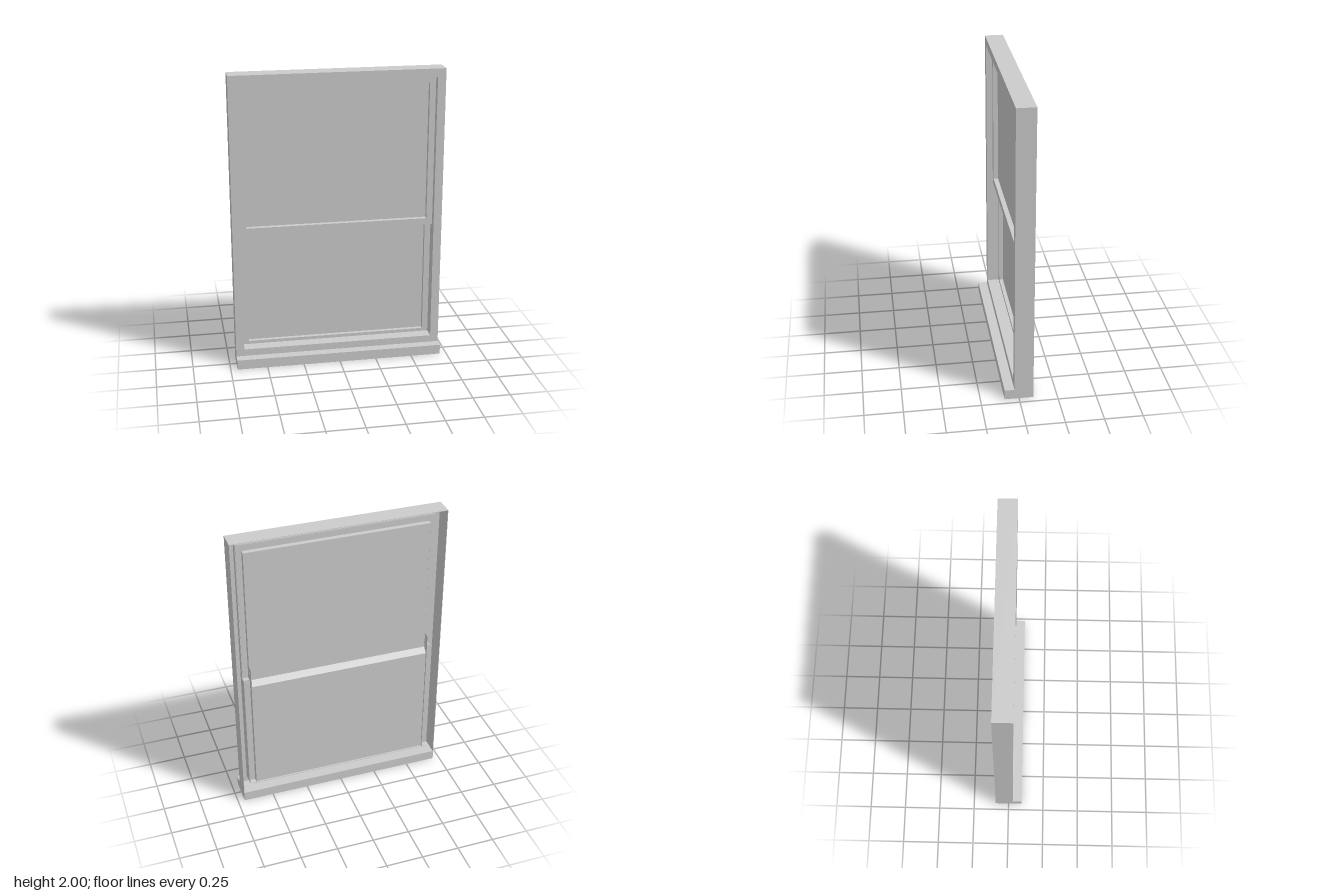
import * as THREE from 'three';

const material = new THREE.MeshStandardMaterial({ color: 0xcccccc, flatShading: true, side: THREE.DoubleSide });

export function createModel() {
  const group = new THREE.Group();

  const add = (name, geometry) => {
    const mesh = new THREE.Mesh(geometry, material);
    mesh.name = name;
    group.add(mesh);
    return mesh;
  };

  // Box given by its limits
  const box = (name, x0, x1, y0, y1, z0, z1) =>
    add(name, new THREE.BoxGeometry(x1 - x0, y1 - y0, z1 - z0))
      .position.set((x0 + x1) / 2, (y0 + y1) / 2, (z0 + z1) / 2);

  const trace = (path, [w, y0, y1]) =>
    path.moveTo(-w, y0).lineTo(w, y0).lineTo(w, y1).lineTo(-w, y1).closePath();

  // Rectangular ring between two outlines [half width, bottom, top]
  const ring = (name, outer, inner, z0, z1) => {
    const shape = trace(new THREE.Shape(), outer);
    shape.holes.push(trace(new THREE.Path(), inner));
    const geometry = new THREE.ExtrudeGeometry(shape, { depth: z1 - z0, bevelEnabled: false });
    add(name, geometry.translate(0, 0, z0));
  };

  const t = 0.003; // sheet thickness

  // Outer frame: thin shell, front casing and sill
  ring('outerShell', [0.705, 0, 2], [0.705 - t, 0.03, 2 - t], -0.094, 0.027);
  ring('frontCasing', [0.705, 0.03, 2], [0.65, 0.115, 1.945], 0.027, 0.03);
  box('sill', -0.705, 0.705, 0, 0.067, -0.094, 0.094);

  // Reveal behind the casing, deeper around the lower sash
  ring('reveal', [0.65 + t, 0.115 - t, 1.945 + t], [0.65, 0.115, 1.945], -0.012, 0.028);
  for (const s of [-1, 1]) {
    const a = s * 0.65, b = s * (0.65 + t);
    box('lowerReveal', Math.min(a, b), Math.max(a, b), 0.115, 0.97, -0.055, -0.012);
  }
  box('lowerLedge', -0.65, 0.65, 0.115 - t, 0.115, -0.055, -0.012);

  // Upper sash
  ring('upperSashFace', [0.65, 0.925, 1.945], [0.61, 0.97, 1.90], -0.015, -0.012);
  ring('upperSashReturn', [0.61 + t, 0.97 - t, 1.90 + t], [0.61, 0.97, 1.90], -0.048, -0.012);
  box('upperGlass', -0.61, 0.61, 0.96, 1.90, -0.047, -0.044);

  // Lower sash, with side returns rising above the meeting rail
  ring('lowerSashFace', [0.65, 0.115, 0.96], [0.61, 0.137, 0.925], -0.055, -0.052);
  for (const s of [-1, 1]) {
    const a = s * 0.61, b = s * (0.61 + t);
    box('lowerSashReturn', Math.min(a, b), Math.max(a, b), 0.137, 1.08, -0.094, -0.052);
  }
  box('lowerSashBottomReturn', -0.65, 0.65, 0.137 - t, 0.137, -0.094, -0.052);
  box('lowerGlass', -0.61, 0.61, 0.137, 0.93, -0.082, -0.079);

  // Meeting rail: front bar and sloped back
  box('meetingRail', -0.65, 0.65, 0.925, 0.97, -0.045, -0.012);
  const profile = [[-0.045, 0.925], [-0.045, 0.97], [-0.082, 0.935], [-0.082, 0.925]];
  const slope = new THREE.Shape(profile.map(([z, y]) => new THREE.Vector2(-z, y)));
  const slopeGeometry = new THREE.ExtrudeGeometry(slope, { depth: 1.22, bevelEnabled: false });
  slopeGeometry.rotateY(Math.PI / 2).translate(-0.61, 0, 0);
  add('meetingRailSlope', slopeGeometry);

  return group;
}
